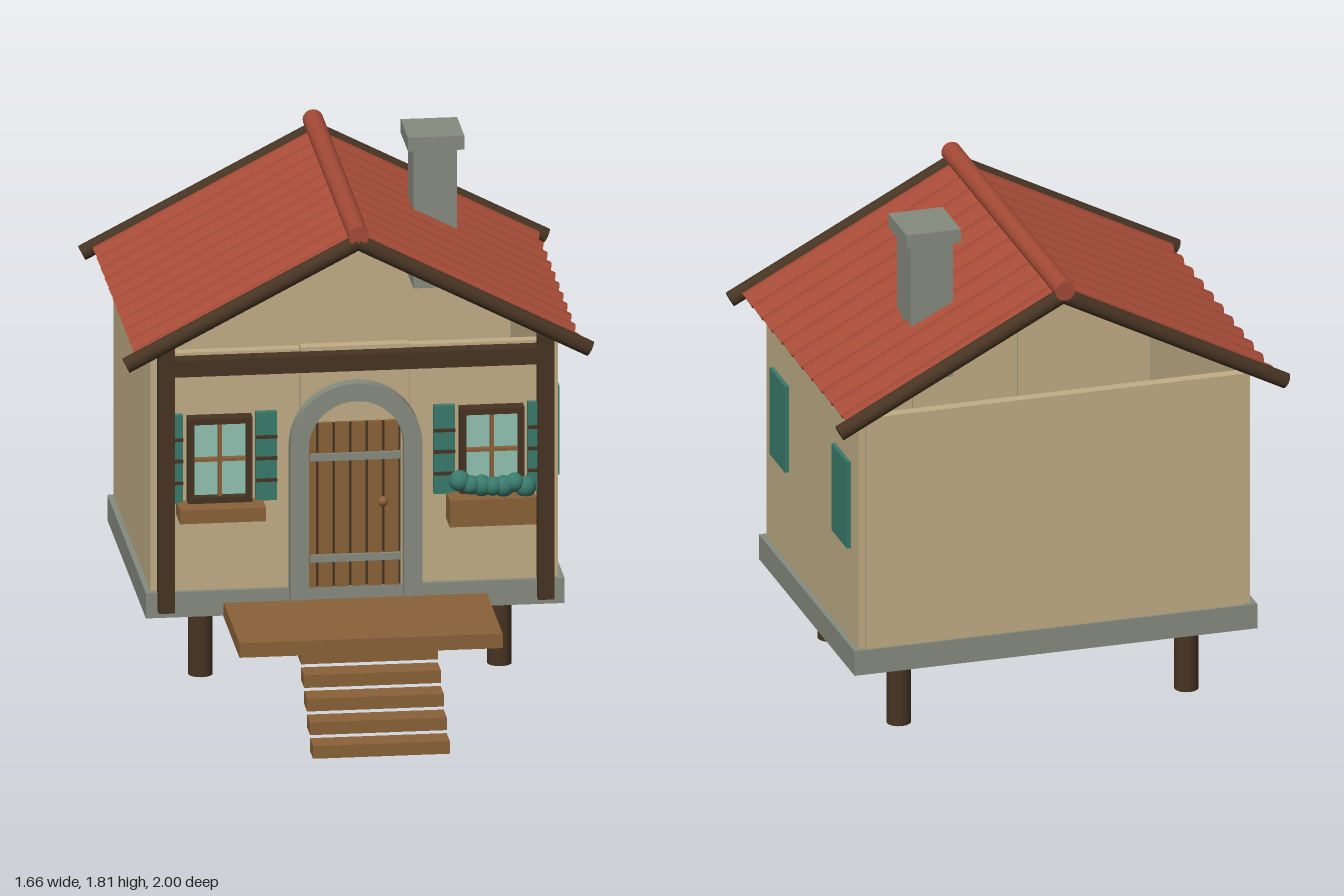
import * as THREE from 'three';

const mat = (name, color, opts = {}) => {
  const m = new THREE.MeshStandardMaterial({ color, ...opts });
  m.name = name;
  return m;
};

export function createModel() {
  const house = new THREE.Group();
  house.name = 'stiltCottage';
  const plaster = mat('plaster', 0xc2ae86);
  const stone = mat('stone', 0x878c80);
  const wood = mat('lightWood', 0x8a6238);
  const timber = mat('darkTimber', 0x473423);
  const red = mat('roofTile', 0xa54b37, { flatShading: true });
  const teal = mat('tealPaint', 0x3a7a6c);
  const glass = mat('glass', 0x92c4b4);

  const add = (name, geo, material, x = 0, y = 0, z = 0, parent = house) => {
    const m = new THREE.Mesh(geo, material);
    m.name = name;
    m.position.set(x, y, z);
    parent.add(m);
    return m;
  };
  // Box given by its limits on each axis
  const box = (name, material, x0, x1, y0, y1, z0, z1, parent = house) =>
    add(name, new THREE.BoxGeometry(x1 - x0, y1 - y0, z1 - z0), material,
      (x0 + x1) / 2, (y0 + y1) / 2, (z0 + z1) / 2, parent);
  // Round log between two points
  const log = (name, material, a, b, r) => {
    const dir = b.clone().sub(a);
    const mid = a.clone().add(b).multiplyScalar(0.5);
    const m = add(name, new THREE.CylinderGeometry(r, r, dir.length(), 16), material, mid.x, mid.y, mid.z);
    m.quaternion.setFromUnitVectors(new THREE.Vector3(0, 1, 0), dir.normalize());
    return m;
  };

  // Base slab and stilts
  box('baseSlab', stone, -0.735, 0.735, 0.288, 0.38, -0.888, 0.237);
  for (const x of [-0.525, 0.525])
    for (const z of [0.08, -0.73])
      add('stilt', new THREE.CylinderGeometry(0.043, 0.043, 0.27, 16), timber, x, 0.163, z);

  // Open-topped walls
  for (const s of [-1, 1])
    box('sideWall', plaster, s * 0.695 - 0.02, s * 0.695 + 0.02, 0.285, 1.25, -0.868, 0.21);
  box('backWall', plaster, -0.69, 0.69, 0.285, 1.25, -0.88, -0.84);
  box('frontWall', plaster, -0.69, -0.193, 0.285, 1.25, 0.18, 0.22);
  box('frontWall', plaster, 0.193, 0.69, 0.285, 1.25, 0.18, 0.22);
  box('doorWall', plaster, -0.19, 0.19, 0.285, 1.255, 0.18, 0.222);

  // Front timber frame
  for (const s of [-1, 1])
    box('cornerPost', timber, s * 0.666 - 0.028, s * 0.666 + 0.028, 0.315, 1.28, 0.222, 0.276);
  box('frontBeam', timber, -0.64, 0.64, 1.18, 1.24, 0.215, 0.28);

  // Deck and stairs
  box('deck', wood, -0.462, 0.462, 0.282, 0.335, 0.18, 0.7);
  for (let i = 0; i < 5; i++) {
    const z = 1 - i * 0.087, y = i * 0.0585;
    box('step', wood, -0.24, 0.24, y, y + 0.046, z - 0.092, z);
  }

  // Stone arch around the door
  const arch = new THREE.Shape();
  arch.moveTo(-0.232, 0.345);
  arch.lineTo(-0.232, 0.9);
  arch.absarc(0, 0.9, 0.232, Math.PI, 0, true);
  arch.lineTo(0.232, 0.345);
  arch.lineTo(0.167, 0.345);
  arch.lineTo(0.167, 0.9);
  arch.absarc(0, 0.9, 0.167, 0, Math.PI, false);
  arch.lineTo(-0.167, 0.345);
  add('doorArch', new THREE.ExtrudeGeometry(arch, { depth: 0.09, bevelEnabled: false, curveSegments: 20 }),
    stone, 0, 0, 0.183);

  // Plank door
  const door = new THREE.Group();
  door.name = 'door';
  house.add(door);
  box('doorBacking', timber, -0.16, 0.16, 0.38, 0.978, 0.215, 0.23, door);
  const cuts = [-0.19, -0.134, -0.076, -0.018, 0.04, 0.098, 0.156];
  for (let i = 0; i < 6; i++)
    box('plank', wood, Math.max(-0.163, cuts[i] + 0.005), cuts[i + 1] - 0.005, 0.38, 0.98, 0.22, 0.24, door);
  for (const y of [0.487, 0.857])
    box('strap', stone, -0.16, 0.16, y - 0.013, y + 0.013, 0.235, 0.25, door);
  add('knob', new THREE.SphereGeometry(0.018, 16, 12), wood, 0.095, 0.69, 0.252, door);

  // Front windows with shutters
  for (const s of [-1, 1]) {
    const win = new THREE.Group();
    win.name = 'frontWindow';
    win.position.set(s * 0.4775, 0.867, 0);
    house.add(win);
    box('pane', glass, -0.1, 0.1, -0.14, 0.14, 0.222, 0.24, win);
    for (const k of [-1, 1]) {
      box('frameSide', timber, k * 0.102 - 0.011, k * 0.102 + 0.011, -0.155, 0.155, 0.215, 0.272, win);
      box('frameRail', timber, -0.091, 0.091, k * 0.144 - 0.011, k * 0.144 + 0.011, 0.215, 0.272, win);
      box('shutter', teal, k * 0.165 - 0.037, k * 0.165 + 0.037, -0.16, 0.162, 0.215, 0.245, win);
      for (const y of [-0.085, -0.005, 0.073])
        box('shutterSlat', timber, k * 0.165 - 0.037, k * 0.165 + 0.037, y - 0.006, y + 0.006, 0.24, 0.25, win);
    }
    box('mullion', wood, -0.006, 0.006, -0.133, 0.133, 0.235, 0.262, win);
    box('crossbar', wood, -0.091, 0.091, -0.006, 0.006, 0.235, 0.26, win);
  }

  // Window sill, flower box and its plants
  box('windowSill', wood, -0.627, -0.325, 0.66, 0.71, 0.215, 0.335);
  box('flowerBox', wood, 0.32, 0.625, 0.612, 0.71, 0.215, 0.335);
  const heights = [0.768, 0.753, 0.748, 0.746, 0.743, 0.757, 0.738];
  heights.forEach((y, i) =>
    add('plant', new THREE.SphereGeometry(i % 2 ? 0.034 : 0.038, 14, 10), teal,
      0.36 + i * 0.0385, y, 0.292 + (i % 2) * 0.006));

  // Side shutters on the left wall
  for (const z of [0.037, -0.69])
    box('sideShutter', teal, 0.71, 0.73, 0.725, 1.05, z - 0.092, z + 0.092);

  // Roof: rows of barrel tiles on both slopes
  const apexY = 1.665, angle = Math.atan(0.52);
  const c = Math.cos(angle), sn = Math.sin(angle);
  const tile = new THREE.Shape();
  const N = 6, w = 0.056;
  for (let i = 0; i <= N; i++) {
    const u = -1 + (2 * i) / N;
    tile[i ? 'lineTo' : 'moveTo'](u * w, 0.019 - 0.026 * u * u);
  }
  for (let i = N; i >= 0; i--) {
    const u = -1 + (2 * i) / N;
    tile.lineTo(u * w, 0.011 - 0.026 * u * u);
  }
  const tileGeo = new THREE.ExtrudeGeometry(tile, { depth: 0.775 / c, bevelEnabled: false });
  for (const s of [-1, 1]) {
    const basis = new THREE.Matrix4().makeBasis(
      new THREE.Vector3(0, 0, -s),
      new THREE.Vector3(s * sn, c, 0),
      new THREE.Vector3(s * c, -sn, 0));
    for (let i = 0; i < 11; i++) {
      const t = add('tileRow', tileGeo, red, 0, apexY, 0.263 - i * 0.117);
      t.quaternion.setFromRotationMatrix(basis);
    }
    // Gable rafters
    for (const z of [0.318, -0.968])
      log('rafter', timber, new THREE.Vector3(0, apexY, z), new THREE.Vector3(s * 0.815, 1.243, z), 0.028);
  }
  log('ridgeCap', red, new THREE.Vector3(0, 1.692, -1), new THREE.Vector3(0, 1.692, 0.343), 0.036);

  // Chimney
  box('chimneyShaft', stone, 0.284, 0.436, 1.245, 1.757, -0.59, -0.425);
  box('chimneyCap', stone, 0.262, 0.46, 1.755, 1.806, -0.613, -0.4);

  return house;
}
